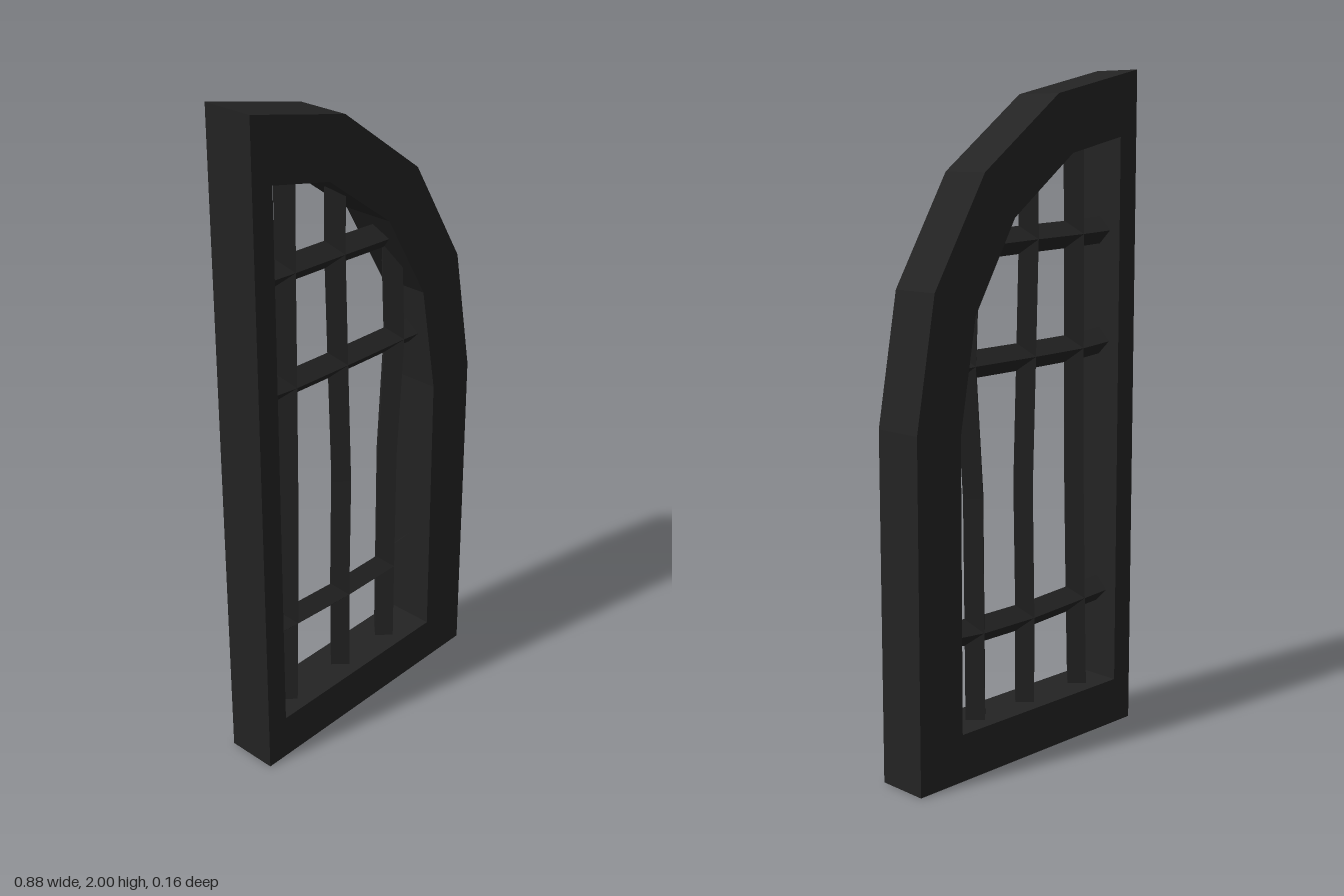
import * as THREE from 'three';

const toVectors = (pts) => pts.map(([x, y]) => new THREE.Vector2(x, y));

// Bar with a diamond cross-section, swept along a slightly bent path in the xy plane
function barGeometry(path, vertical, radius = 0.04) {
  const positions = [];
  const index = [];
  path.forEach(([x, y], i) => {
    for (let j = 0; j < 4; j++) {
      const c = radius * Math.round(Math.cos(j * Math.PI / 2) * 1e6) / 1e6;
      const s = radius * Math.round(Math.sin(j * Math.PI / 2) * 1e6) / 1e6;
      if (vertical) positions.push(x + s, y, c);
      else positions.push(x, y + c, s);
      if (i < path.length - 1) {
        const a = i * 4 + j;
        const b = i * 4 + (j + 1) % 4;
        index.push(a, b, a + 4, b, b + 4, a + 4);
      }
    }
  });
  // End caps
  const n = (path.length - 1) * 4;
  index.push(0, 2, 1, 0, 3, 2, n, n + 1, n + 2, n, n + 2, n + 3);
  const indexed = new THREE.BufferGeometry();
  indexed.setAttribute('position', new THREE.Float32BufferAttribute(positions, 3));
  indexed.setIndex(index);
  const geometry = indexed.toNonIndexed();
  geometry.computeVertexNormals();
  return geometry;
}

export function createModel() {
  const model = new THREE.Group();
  model.name = 'archedWindowHalf';
  const iron = new THREE.MeshStandardMaterial({ color: 0x232323 });
  iron.name = 'dark iron';

  // Frame: half of a faceted pointed arch, with an opening
  const shape = new THREE.Shape(toVectors([
    [-0.44, 0], [0.44, 0], [0.44, 1.02], [0.372, 1.397],
    [0.185, 1.71], [-0.105, 1.925], [-0.44, 2],
  ]));
  shape.holes.push(new THREE.Path(toVectors([
    [-0.37, 0.14], [-0.37, 1.805], [-0.165, 1.76],
    [0.07, 1.585], [0.222, 1.325], [0.28, 1.0], [0.28, 0.14],
  ])));
  const depth = 0.156;
  const frameGeometry = new THREE.ExtrudeGeometry(shape, { depth, bevelEnabled: false });
  frameGeometry.translate(0, 0, -depth / 2);
  const frame = new THREE.Mesh(frameGeometry, iron);
  frame.name = 'frame';
  model.add(frame);

  const addBars = (name, paths, vertical) => paths.forEach((path, i) => {
    const bar = new THREE.Mesh(barGeometry(path, vertical), iron);
    bar.name = name + (i + 1);
    model.add(bar);
  });

  // Upright bars, slightly crooked
  addBars('uprightBar', [
    [[-0.282, 0.1], [-0.272, 0.42], [-0.262, 0.8], [-0.258, 1.19], [-0.255, 1.53], [-0.25, 1.84]],
    [[-0.05, 0.1], [-0.05, 0.41], [-0.042, 0.8], [-0.054, 1.18], [-0.064, 1.52], [-0.062, 1.76]],
    [[0.155, 0.1], [0.157, 0.4], [0.16, 0.8], [0.186, 1.17], [0.17, 1.5]],
  ], true);

  // Cross bars
  addBars('crossBar', [
    [[-0.39, 0.422], [-0.27, 0.415], [-0.05, 0.402], [0.15, 0.402], [0.32, 0.415]],
    [[-0.39, 1.2], [-0.26, 1.188], [-0.05, 1.182], [0.18, 1.178], [0.3, 1.172]],
    [[-0.39, 1.532], [-0.255, 1.525], [-0.06, 1.518], [0.17, 1.508]],
  ], false);

  return model;
}
